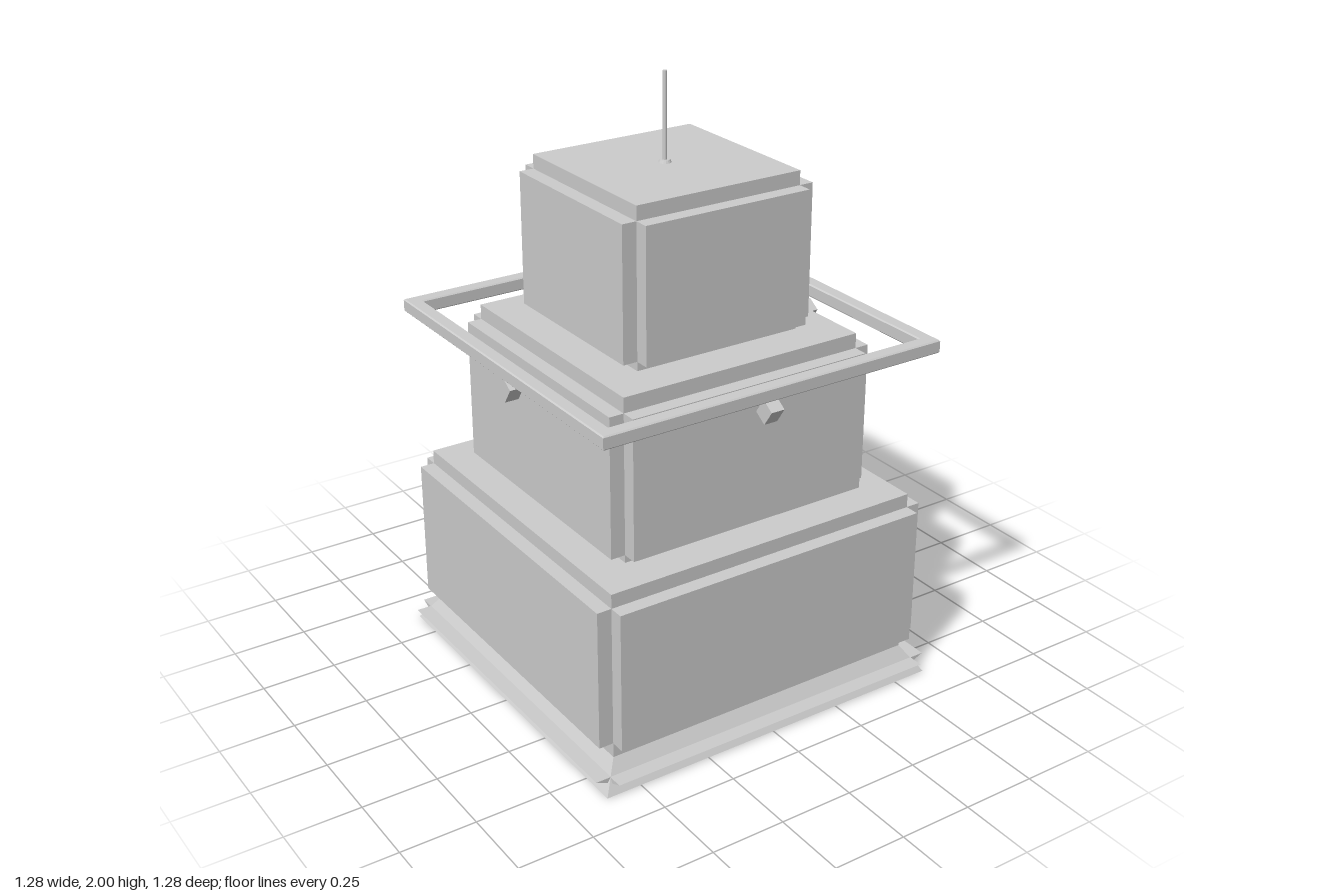
import * as THREE from 'three';

const material = new THREE.MeshStandardMaterial({ color: 0xcccccc, flatShading: true });

function add(parent, name, geometry, x = 0, y = 0, z = 0) {
  const mesh = new THREE.Mesh(geometry, material);
  mesh.name = name;
  mesh.position.set(x, y, z);
  parent.add(mesh);
  return mesh;
}

// Square block with a raised panel on each side, leaving notched corners
function createTier(name, half, bottom, top, panelBottom, panelTop) {
  const tier = new THREE.Group();
  tier.name = name;
  const depth = 0.049;
  add(tier, 'core', new THREE.BoxGeometry(half * 2, top - bottom, half * 2), 0, (top + bottom) / 2);
  for (let i = 0; i < 4; i++) {
    const a = i * Math.PI / 2;
    const r = half + depth / 2;
    const panel = add(tier, 'sidePanel', new THREE.BoxGeometry(half * 2, panelTop - panelBottom, depth),
      Math.sin(a) * r, (panelTop + panelBottom) / 2, Math.cos(a) * r);
    panel.rotation.y = a;
  }
  return tier;
}

// Sloped plinth with a wedge-shaped lip along each side
function createPlinth() {
  const plinth = new THREE.Group();
  plinth.name = 'plinth';
  const slope = new THREE.CylinderGeometry(0.56 * Math.SQRT2, 0.62 * Math.SQRT2, 0.09, 4);
  slope.rotateY(Math.PI / 4);
  add(plinth, 'slopedBase', slope, 0, 0.045);

  const profile = new THREE.Shape([[0.57, 0.047], [0.64, 0.047], [0.6, 0.03], [0.57, 0.03]]
    .map(([x, y]) => new THREE.Vector2(x, y)));
  const length = 1.18;
  const lip = new THREE.ExtrudeGeometry(profile, { depth: length, bevelEnabled: false });
  lip.translate(0, 0, -length / 2);
  for (let i = 0; i < 4; i++) add(plinth, 'lip', lip).rotation.y = i * Math.PI / 2;
  return plinth;
}

function squarePath(PathType, half) {
  return new PathType([[-half, -half], [half, -half], [half, half], [-half, half]]
    .map(([x, y]) => new THREE.Vector2(x, y)));
}

// Square frame with slightly bevelled edges
function createFrame() {
  const bevel = 0.004;
  const shape = squarePath(THREE.Shape, 0.61 - bevel);
  shape.holes.push(squarePath(THREE.Path, 0.563 + bevel));
  const geometry = new THREE.ExtrudeGeometry(shape, {
    depth: 0.036, bevelThickness: bevel, bevelSize: bevel, bevelSegments: 1
  });
  geometry.rotateX(-Math.PI / 2);
  return geometry;
}

export function createModel() {
  const model = new THREE.Group();
  model.name = 'tieredTower';

  model.add(createPlinth());
  model.add(createTier('lowerTier', 0.56, 0.08, 0.657, 0.14, 0.61));
  model.add(createTier('middleTier', 0.427, 0.65, 1.2, 0.683, 1.15));
  model.add(createTier('upperTier', 0.293, 1.19, 1.715, 1.23, 1.668));

  add(model, 'squareFrame', createFrame(), 0, 1.159);

  // Tilted lamps below the frame
  const lampGeometry = new THREE.BoxGeometry(0.047, 0.062, 0.05);
  for (const [x, z] of [[0, 0.56], [0, -0.56], [0.56, 0], [-0.56, 0]]) {
    add(model, 'lamp', lampGeometry, x, 1.1, z).rotation.x = 0.59;
  }

  // Mast on a small collar
  add(model, 'mastCollar', new THREE.CylinderGeometry(0.016, 0.021, 0.01, 16), 0, 1.719);
  add(model, 'mast', new THREE.CylinderGeometry(0.007, 0.007, 0.29, 12), 0, 1.855);

  return model;
}
